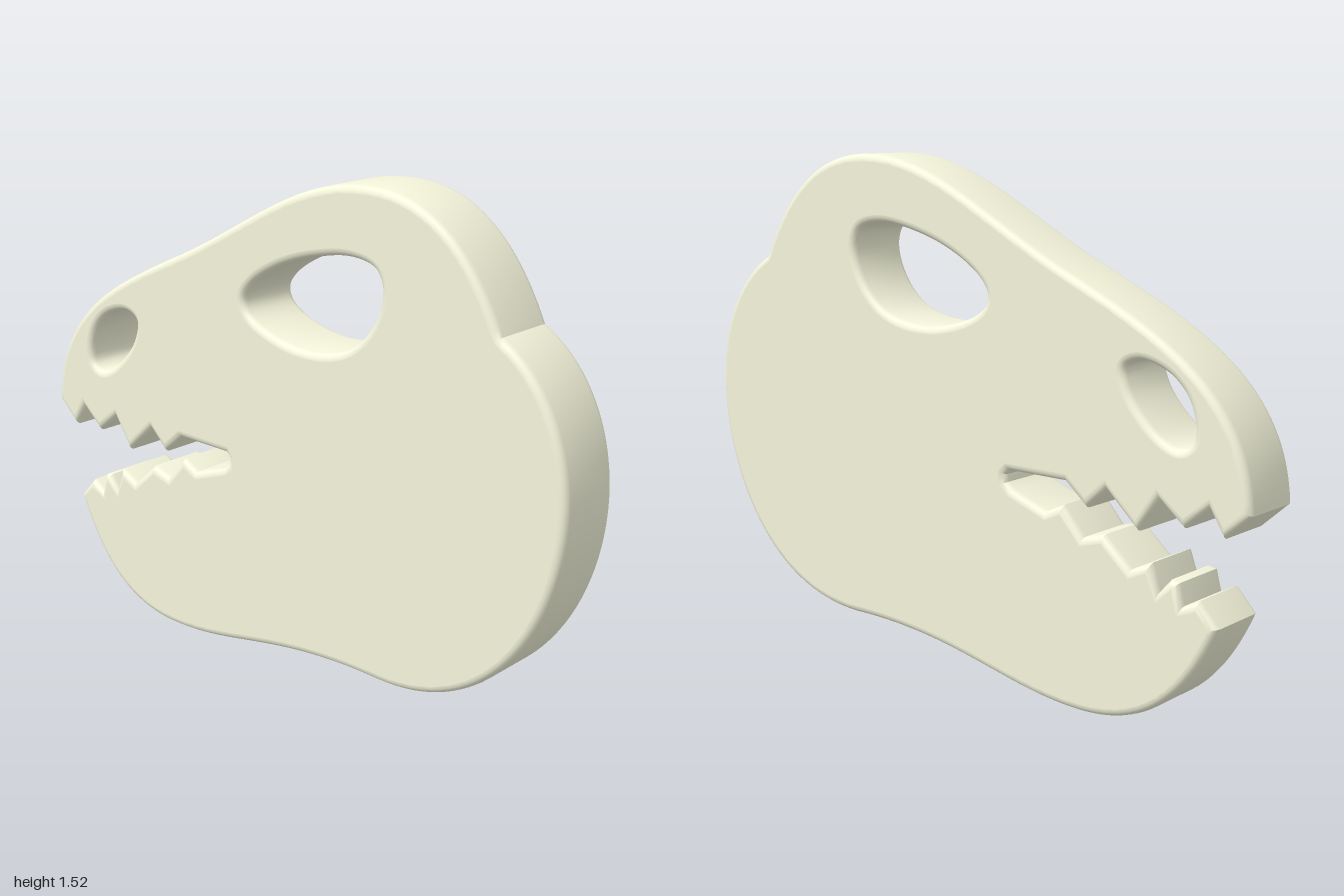
import * as THREE from 'three';
import { toCreasedNormals } from 'three/addons/utils/BufferGeometryUtils.js';

const THICKNESS = 0.213;
const BEVEL = 0.022;

// Smooth closed opening through a few points, wound against the outline
function opening(pairs) {
  const curve = new THREE.CatmullRomCurve3(
    pairs.map(([x, y]) => new THREE.Vector3(x, y, 0)), true, 'centripetal');
  const points = curve.getPoints(72).slice(0, -1).map((p) => new THREE.Vector2(p.x, p.y));
  return new THREE.Path(points.reverse());
}

function skullShape() {
  const shape = new THREE.Shape();
  shape.moveTo(-1, 0.645);

  // Snout, forehead and crown, up to the notch at the nape
  shape.bezierCurveTo(-0.98, 0.96, -0.72, 1.08, -0.4, 1.225);
  shape.bezierCurveTo(-0.1, 1.365, 0.08, 1.52, 0.34, 1.52);
  shape.bezierCurveTo(0.53, 1.52, 0.67, 1.42, 0.775, 1.195);

  // Back of the head, jaw underside and chin
  shape.bezierCurveTo(0.92, 1.12, 1, 0.95, 1, 0.77);
  shape.bezierCurveTo(1, 0.47, 0.8, 0.105, 0.4, 0.105);
  shape.bezierCurveTo(-0.02, 0.115, -0.2, 0, -0.47, 0);
  shape.bezierCurveTo(-0.69, 0, -0.82, 0.12, -0.91, 0.33);

  // Lower teeth, mouth corner, then upper teeth back to the snout
  const mouth = [
    [-0.85, 0.395], [-0.8, 0.37], [-0.785, 0.43], [-0.76, 0.435], [-0.725, 0.395],
    [-0.7, 0.47], [-0.635, 0.44], [-0.545, 0.52], [-0.475, 0.5], [-0.405, 0.58],
    [-0.345, 0.552], [-0.225, 0.595], [-0.203, 0.613], [-0.2, 0.635], [-0.212, 0.648],
    [-0.41, 0.648], [-0.485, 0.584], [-0.55, 0.645], [-0.655, 0.548], [-0.72, 0.645],
    [-0.8, 0.58], [-0.875, 0.645], [-0.92, 0.573],
  ];
  mouth.forEach(([x, y]) => shape.lineTo(x, y));
  shape.closePath();

  // Eye socket and nostril
  shape.holes.push(
    opening([
      [-0.13, 1.14], [-0.1, 1.185], [-0.01, 1.245], [0.12, 1.295], [0.28, 1.322], [0.365, 1.3],
      [0.387, 1.24], [0.35, 1.14], [0.26, 1.06], [0.1, 1.03], [-0.06, 1.065], [-0.12, 1.105],
    ]),
    opening([
      [-0.825, 0.85], [-0.8, 0.925], [-0.74, 0.982], [-0.65, 1.007], [-0.605, 0.985],
      [-0.615, 0.93], [-0.66, 0.865], [-0.73, 0.805], [-0.785, 0.788], [-0.818, 0.808],
    ]),
  );
  return shape;
}

// Smooth sides and rounded rims, with flat front and back faces
function smoothSlab(source) {
  // Enlarged while creasing so that the fine rim vertices stay distinct
  source.scale(100, 100, 100);
  const geometry = toCreasedNormals(source, 0.6);
  geometry.scale(0.01, 0.01, 0.01);
  const { position, normal } = geometry.attributes;
  const half = THICKNESS / 2 - 1e-5;
  for (let i = 0; i < position.count; i += 3) {
    const z = [0, 1, 2].map((k) => position.getZ(i + k));
    if (z.every((v) => Math.abs(v) > half)) {
      for (let k = 0; k < 3; k++) normal.setXYZ(i + k, 0, 0, Math.sign(z[k]));
    }
  }
  return geometry;
}

export function createModel() {
  const slab = new THREE.ExtrudeGeometry(skullShape(), {
    depth: THICKNESS - 2 * BEVEL,
    bevelEnabled: true,
    bevelThickness: BEVEL,
    bevelSize: BEVEL,
    bevelOffset: -BEVEL,
    bevelSegments: 4,
    curveSegments: 28,
  });
  slab.translate(0, 0, BEVEL - THICKNESS / 2);

  const skull = new THREE.Mesh(
    smoothSlab(slab),
    new THREE.MeshStandardMaterial({ color: 0xf5f5dc }),
  );
  skull.name = 'skull';

  const group = new THREE.Group();
  group.name = 'dinosaurSkull';
  group.add(skull);
  return group;
}
